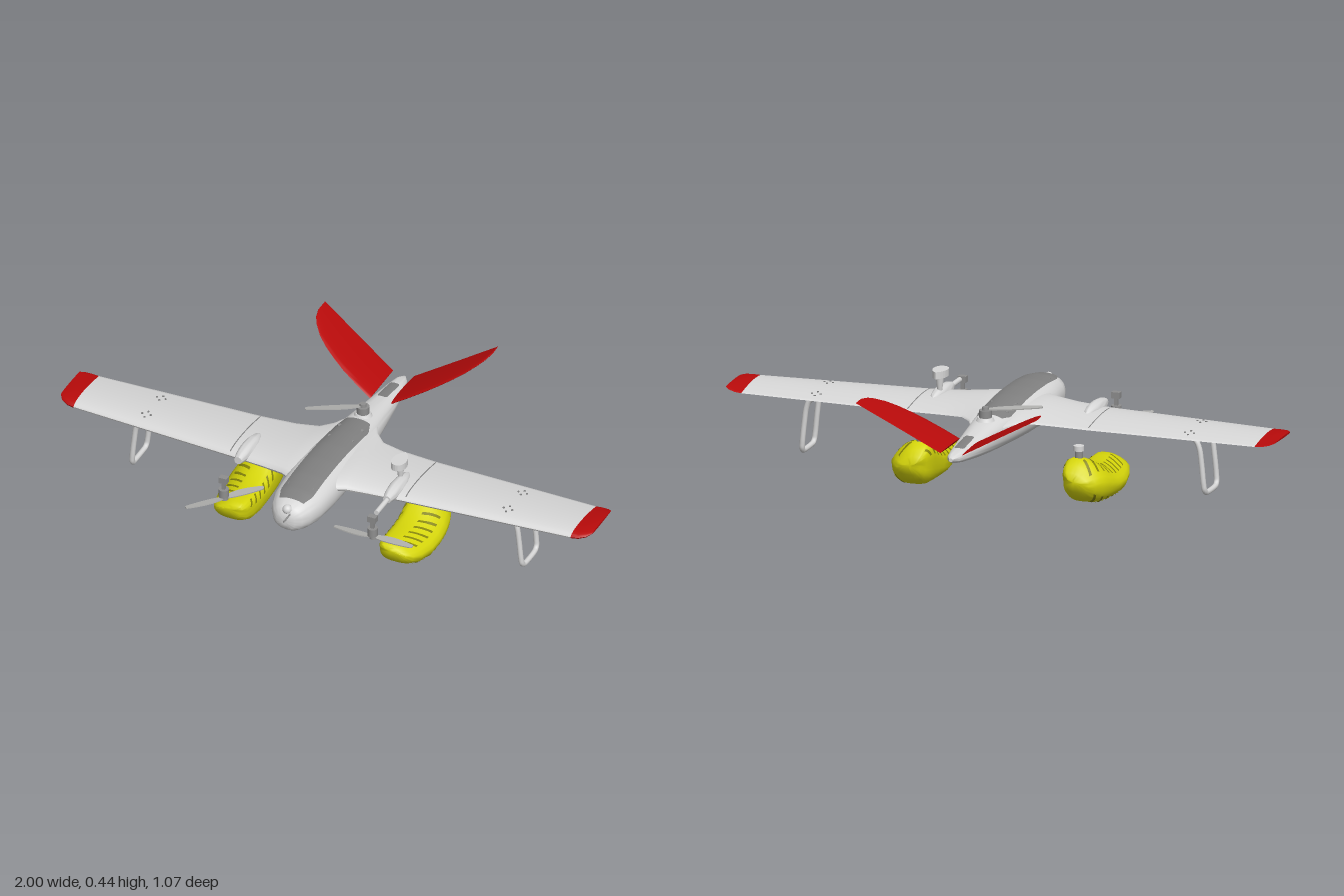
import * as THREE from 'three';
import { toCreasedNormals } from 'three/addons/utils/BufferGeometryUtils.js';

const mat = (name, color, side = THREE.FrontSide) => {
  const m = new THREE.MeshStandardMaterial({ color, side });
  m.name = name;
  return m;
};
const V = (x, y, z) => new THREE.Vector3(x, y, z);

// Closed skin through a list of rings with equal point counts, capped at both ends
function loft(rings, crease = 0.7) {
  const n = rings[0].length, pts = rings.flat(), idx = [];
  for (let i = 0; i < rings.length - 1; i++)
    for (let j = 0; j < n; j++) {
      const a = i * n + j, b = i * n + (j + 1) % n;
      idx.push(a, b, a + n, b, b + n, a + n);
    }
  [0, rings.length - 1].forEach((r, k) => {
    const c = pts.length;
    pts.push(rings[r].reduce((s, p) => s.add(p), V(0, 0, 0)).divideScalar(n));
    for (let j = 0; j < n; j++) {
      const a = r * n + j, b = r * n + (j + 1) % n;
      idx.push(...(k ? [a, b, c] : [b, a, c]));
    }
  });
  // Turn all faces outward
  let vol = 0;
  for (let i = 0; i < idx.length; i += 3)
    vol += pts[idx[i]].dot(V(0, 0, 0).crossVectors(pts[idx[i + 1]], pts[idx[i + 2]]));
  if (vol < 0) idx.reverse();
  const g = new THREE.BufferGeometry().setFromPoints(pts);
  g.setIndex(idx);
  return toCreasedNormals(g, crease);
}

// Open patch from a function of (u, v)
function patch(f, nu, nv) {
  const g = new THREE.PlaneGeometry(1, 1, nu, nv), p = g.attributes.position;
  for (let i = 0; i < p.count; i++) {
    const q = f(p.getX(i) + 0.5, p.getY(i) + 0.5);
    p.setXYZ(i, q.x, q.y, q.z);
  }
  g.computeVertexNormals();
  return g;
}

// Linear lookup in rows whose first entry descends
function lookup(rows, z) {
  let i = 0;
  while (i < rows.length - 2 && z < rows[i + 1][0]) i++;
  const a = rows[i], b = rows[i + 1], t = (z - a[0]) / (b[0] - a[0]);
  return a.map((v, k) => v + (b[k] - v) * t);
}

const sp = (v, e) => Math.sign(v) * Math.abs(v) ** e;

// Aerofoil ring: leading and trailing z, height, thickness along (nx, ny)
function foil(x, zl, zt, y, th, nx = 0, ny = 1) {
  return Array.from({ length: 28 }, (_, i) => {
    const a = i / 28 * Math.PI * 2, c = (1 - Math.cos(a)) / 2;
    const h = th * (1.5 * Math.sqrt(c) * (1 - c) + 0.04) * (a < Math.PI ? 0.75 : -0.55);
    return V(x + nx * h, y + ny * h, zl + (zt - zl) * c);
  });
}

// Fuselage rows: z, half width, bottom, top
const BODY = [[0.49, 0.012, 0.235, 0.26], [0.485, 0.035, 0.215, 0.28], [0.47, 0.055, 0.203, 0.297],
  [0.44, 0.074, 0.194, 0.309], [0.39, 0.09, 0.188, 0.318], [0.3, 0.098, 0.183, 0.324], [0.2, 0.1, 0.18, 0.325],
  [0.1, 0.094, 0.181, 0.322], [0, 0.082, 0.184, 0.315], [-0.1, 0.07, 0.19, 0.306], [-0.2, 0.058, 0.197, 0.294],
  [-0.3, 0.047, 0.208, 0.28], [-0.4, 0.033, 0.222, 0.268], [-0.45, 0.022, 0.231, 0.263], [-0.475, 0.006, 0.241, 0.254]];
// Float rows: z, bottom, top, inner x, outer x
const FLOAT = [[0.287, 0.075, 0.094, 0.29, 0.33], [0.28, 0.052, 0.102, 0.265, 0.355], [0.26, 0.03, 0.107, 0.25, 0.375],
  [0.22, 0.01, 0.107, 0.243, 0.39], [0.16, 0, 0.106, 0.24, 0.402], [0.1, 0, 0.113, 0.24, 0.405],
  [0.05, 0, 0.136, 0.24, 0.403], [0.01, 0.002, 0.158, 0.24, 0.397], [-0.02, 0.01, 0.16, 0.242, 0.387],
  [-0.05, 0.03, 0.142, 0.25, 0.37], [-0.07, 0.055, 0.122, 0.265, 0.35], [-0.081, 0.08, 0.102, 0.29, 0.325]];

// Point on the float skin, flatter on the inner side and leaning inward at the top
function floatPoint(s, z, a, off = 0) {
  const [, b, t, x0, x1] = lookup(FLOAT, z);
  const cx = sp(Math.cos(a), Math.cos(a) < 0 ? 0.6 : 0.8), cy = sp(Math.sin(a), 0.8), up = Math.max(0, cy);
  const x = (x0 + x1) / 2 + cx * ((x1 - x0) / 2 + off) * (1 - 0.25 * up) - 0.025 * up;
  return V(s * x, (b + t) / 2 + cy * ((t - b) / 2 + off), z);
}

export function createModel() {
  const model = new THREE.Group();
  model.name = 'aircraft';
  const M = {
    body: mat('light grey', 0xd8d8d8), red: mat('red', 0xb80a0a), yellow: mat('yellow', 0xd6d60a),
    slot: mat('dark olive', 0x86850a, THREE.DoubleSide), hatch: mat('dark grey', 0x808080, THREE.DoubleSide),
    metal: mat('mid grey', 0x8e8e8e), prop: mat('propeller grey', 0xb0b0ae)
  };
  const add = (name, geo, m, x = 0, y = 0, z = 0, parent = model) => {
    const o = new THREE.Mesh(geo, m);
    o.name = name;
    o.position.set(x, y, z);
    parent.add(o);
    return o;
  };
  const cyl = (r0, r1, h, n = 20) => new THREE.CylinderGeometry(r0, r1, h, n);
  const box = (x, y, z) => new THREE.BoxGeometry(x, y, z);

  // Fuselage and its raised hatch covers
  add('fuselage', loft(BODY.map(([z, w, b, t]) => Array.from({ length: 40 }, (_, i) => {
    const a = i / 40 * Math.PI * 2;
    return V(w * sp(Math.cos(a), 0.87), (b + t) / 2 + (t - b) / 2 * sp(Math.sin(a), 0.87), z);
  })), 1), M.body);
  const cover = (name, z0, z1, hw) => add(name, patch((u, v) => {
    const z = z0 + (z1 - z0) * v, [, w, b, t] = lookup(BODY, z), k = 2 / 0.87;
    const end = Math.min(1, 0.75 + 3 * Math.min(v, 1 - v));
    const x = (u * 2 - 1) * hw * end;
    return V(x, (b + t) / 2 + (t - b) / 2 * (1 - Math.abs(x / w) ** k) ** (1 / k) + 0.003, z);
  }, 16, 54), M.hatch);
  cover('canopy hatch', 0.44, -0.1, 0.06);
  cover('tail hatch', -0.29, -0.4, 0.018);
  for (const s of [-1, 1]) for (const z of [-0.04, 0.04, 0.36])
    add('hatch latch', cyl(0.008, 0.008, 0.006, 12), M.metal, s * 0.04, lookup(BODY, z)[3] - 0.006, z);

  // Nose camera and air probe
  add('nose camera', new THREE.SphereGeometry(0.017, 20, 14), M.body, 0, 0.288, 0.472);
  add('air probe', cyl(0.003, 0.003, 0.08, 10).rotateX(Math.PI / 2), M.metal, 0.015, 0.278, 0.495);

  // One-piece wing: x, leading z, trailing z, height, thickness
  const half = [[0.935, 0.192, -0.017, 0.267, 0.038], [0.33, 0.235, -0.03, 0.268, 0.044],
    [0.2, 0.25, -0.036, 0.271, 0.051], [0.12, 0.265, -0.05, 0.275, 0.06], [0.08, 0.285, -0.09, 0.276, 0.063],
    [0.05, 0.3, -0.15, 0.275, 0.06]];
  const wing = [...half.map(([x, ...r]) => [-x, ...r]), ...half.slice().reverse()];
  add('wing', loft(wing.map(r => foil(...r))), M.body);

  // Two-blade propeller turned about its shaft
  const blade = new THREE.Shape();
  blade.moveTo(0.004, -0.006);
  blade.bezierCurveTo(0.04, -0.025, 0.1, -0.018, 0.147, -0.006);
  blade.quadraticCurveTo(0.15, 0.006, 0.14, 0.009);
  blade.bezierCurveTo(0.1, 0.013, 0.04, 0.015, 0.004, 0.006);
  const propeller = (x, y, z, angles, scale = 1) => {
    const g = new THREE.Group();
    g.name = 'propeller';
    g.position.set(x, y, z);
    for (const a of angles) {
      const geo = new THREE.ExtrudeGeometry(blade, { depth: 0.004, bevelEnabled: false, curveSegments: 8 });
      geo.rotateX(Math.PI / 2 + 0.12).scale(scale, 1, 1);
      add('propeller blade', geo, M.prop, 0, 0, 0, g).rotation.y = a;
    }
    add('propeller hub', cyl(0.011, 0.013, 0.016), M.metal, 0, 0, 0, g);
    model.add(g);
  };

  for (const s of [-1, 1]) {
    // Painted wing tip
    add('wing tip', loft([[0.935, 0.192, -0.017, 0.267, 0.038], [0.96, 0.189, -0.017, 0.269, 0.035],
      [0.985, 0.177, -0.01, 0.274, 0.026], [1, 0.155, 0.003, 0.279, 0.009]]
      .map(([x, ...r]) => foil(s * x, ...r))), M.red);

    // Panel seam and fastener marks
    const deck = (x, z) => {
      const [, zl, zt, y, th] = lookup(half, x), c = (zl - z) / (zl - zt);
      return y + th * (1.5 * Math.sqrt(c) * (1 - c) + 0.04) * 0.75;
    };
    add('panel seam', patch((u, v) => {
      const z = 0.225 - 0.245 * v;
      return V(s * (0.328 + 0.004 * u), deck(0.33, z) + 0.0015, z);
    }, 1, 16), M.hatch);
    for (const z of [0.03, 0.15]) for (let i = 0; i < 4; i++) {
      const x = 0.68 + 0.016 * Math.cos(i * Math.PI / 2), q = z + 0.016 * Math.sin(i * Math.PI / 2);
      add('wing fastener', cyl(0.004, 0.004, 0.004, 8), M.hatch, s * x, deck(x, q), q);
    }

    // V-tail fin, swept back along its span
    const nx = -s * 0.5, ny = 0.87;
    add('tail fin', loft([[0, -0.283, -0.47], [0.2, -0.294, -0.482], [0.4, -0.31, -0.494], [0.55, -0.328, -0.503],
      [0.7, -0.351, -0.513], [0.82, -0.378, -0.521], [0.92, -0.413, -0.527], [0.97, -0.44, -0.53], [1, -0.475, -0.532]]
      .map(([t, a, b]) =>
        foil(s * (0.04 + 0.285 * t), a, b, 0.268 + 0.165 * t, 0.014 - 0.008 * t, nx, ny))), M.red);

    // Landing skid: a tube loop under the outer wing
    const skid = [[0.69, 0.262, 0.155], [0.705, 0.25, 0.155], [0.716, 0.225, 0.155], [0.724, 0.17, 0.155],
      [0.731, 0.1, 0.155], [0.733, 0.08, 0.152], [0.734, 0.069, 0.142], [0.735, 0.066, 0.125]]
      .map(([x, y, z]) => V(s * x, y, z));
    const back = skid.slice().reverse().map(p => V(p.x, p.y, 0.185 - p.z));
    add('landing skid', new THREE.TubeGeometry(
      new THREE.CatmullRomCurve3([...skid, ...back], false, 'centripetal'), 110, 0.0095, 10), M.body);

    // Float with rows of slots and its hanging mount
    add('float', loft(FLOAT.map(([z]) => Array.from({ length: 36 }, (_, i) =>
      floatPoint(s, z, i / 36 * Math.PI * 2))), 1.2), M.yellow);
    for (let i = 0; i < 9; i++) {
      const z = 0.23 - i * 0.033;
      for (const [a0, a1, lean] of [[0.4, 1.25, 0.03], [2.1, 2.75, 0.02], [4.95, 5.65, -0.025]])
        add('float slot', patch((u, v) =>
          floatPoint(s, z + (u - 0.5) * 0.01 + (v - 0.5) * lean, a0 + (a1 - a0) * v, 0.002), 2, 8), M.slot);
    }
    add('float mount', cyl(0.014, 0.014, 0.035), M.metal, s * 0.288, 0.168, 0);
    add('float mount head', cyl(0.018, 0.018, 0.018), M.body, s * 0.288, 0.192, 0);

    // Nacelle on the wing
    const X = s * 0.28;
    add('nacelle', loft([[0.09, 0.003], [0.11, 0.015], [0.15, 0.024], [0.2, 0.026], [0.24, 0.022], [0.27, 0.014]]
      .map(([z, r]) => Array.from({ length: 20 }, (_, i) => {
        const a = i / 20 * Math.PI * 2;
        return V(X + r * Math.cos(a), 0.283 + r * Math.sin(a), z);
      }))), M.body);

    // Tilting motor with its bracket and propeller
    add('motor bracket', box(0.03, 0.022, 0.022), M.metal, X, 0.276, 0.385);
    add('motor bracket arm', box(0.012, 0.04, 0.012), M.metal, X, 0.25, 0.385);
    add('motor', cyl(0.018, 0.018, 0.03), M.metal, X, 0.224, 0.385);
    propeller(X, 0.2, 0.378, s > 0 ? [0, Math.PI] : [0.87, 0.87 + Math.PI]);
  }

  // Motor boom and teardrop sensor pod on the left nacelle
  add('motor boom', cyl(0.009, 0.009, 0.1).rotateX(Math.PI / 2), M.body, 0.28, 0.281, 0.305);
  const drop = new THREE.Shape();
  drop.moveTo(0, 0.045);
  drop.bezierCurveTo(0.034, 0.025, 0.036, -0.042, 0, -0.042);
  drop.bezierCurveTo(-0.036, -0.042, -0.034, 0.025, 0, 0.045);
  add('sensor pod', new THREE.ExtrudeGeometry(drop, { depth: 0.025, bevelEnabled: false }).rotateX(-Math.PI / 2),
    M.body, 0.274, 0.35, 0.149);
  add('sensor pod stem', cyl(0.015, 0.008, 0.055), M.body, 0.274, 0.325, 0.147);

  // Lift rotor on the rear fuselage
  add('rear motor base', cyl(0.026, 0.032, 0.012, 24), M.body, 0, 0.304, -0.14);
  add('rear motor', cyl(0.022, 0.022, 0.028, 24), M.metal, 0, 0.322, -0.14);
  propeller(0, 0.339, -0.14, [Math.PI + 0.52], 1.35);
  return model;
}
